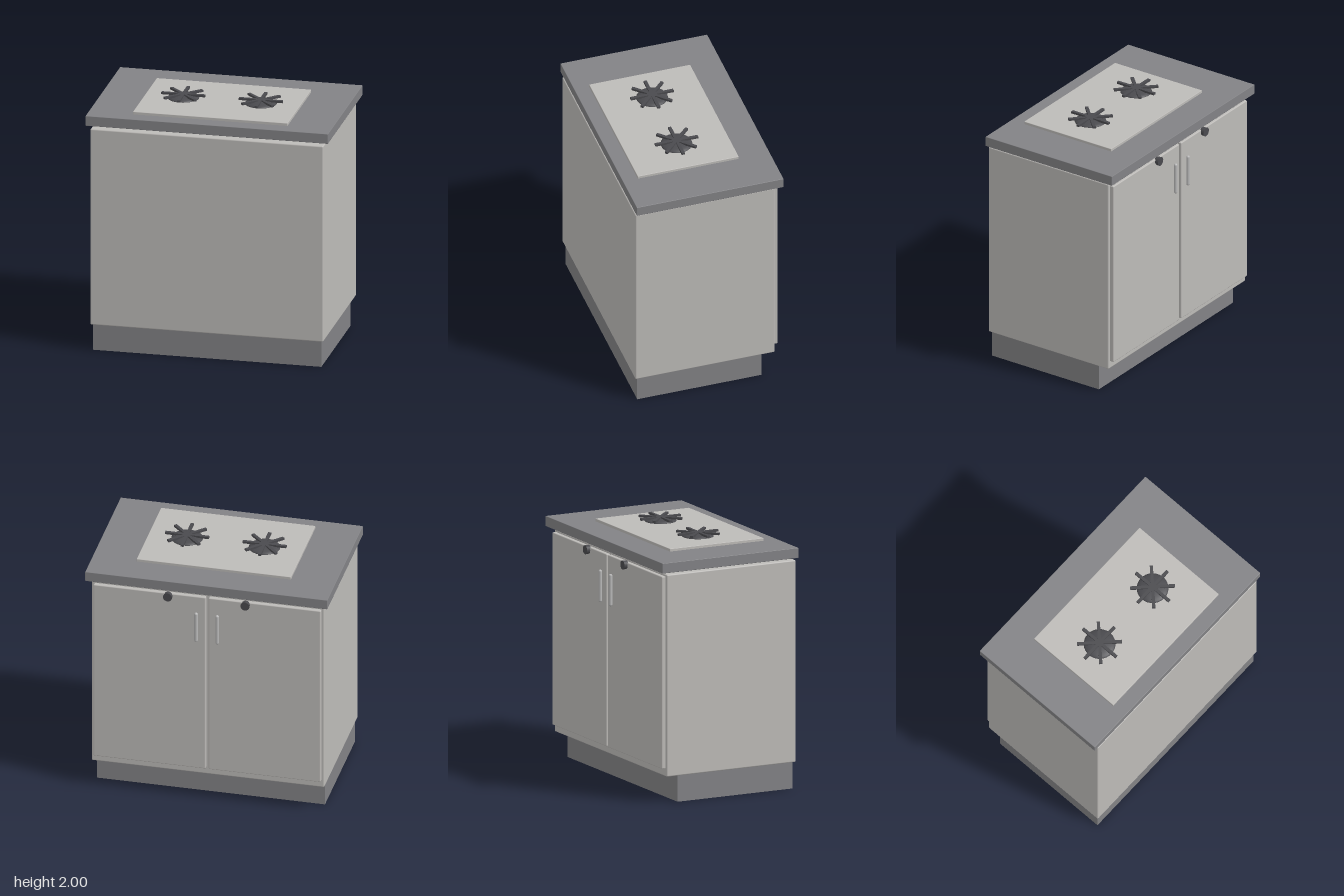
import * as THREE from 'three';
import { RoundedBoxGeometry } from 'three/addons/geometries/RoundedBoxGeometry.js';

const material = (name, color) => {
  const m = new THREE.MeshStandardMaterial({ color });
  m.name = name;
  return m;
};

export function createModel() {
  const model = new THREE.Group();
  model.name = 'stoveCabinet';

  const paint = material('warm light grey', 0xbdbbb8);
  const stone = material('mid grey', 0x828285);
  const iron = material('dark iron', 0x4a4a4e);
  const steel = material('handle steel', 0xb8b8b8);

  const add = (parent, name, geometry, mat, x = 0, y = 0, z = 0) => {
    const mesh = new THREE.Mesh(geometry, mat);
    mesh.name = name;
    mesh.position.set(x, y, z);
    parent.add(mesh);
    return mesh;
  };

  // Box given by its limits on each axis, with optional softened edges
  const block = (parent, name, mat, [x0, x1], [y0, y1], [z0, z1], bevel = 0) => {
    const size = [x1 - x0, y1 - y0, z1 - z0];
    const geometry = bevel
      ? new RoundedBoxGeometry(...size, 2, bevel)
      : new THREE.BoxGeometry(...size);
    return add(parent, name, geometry, mat, (x0 + x1) / 2, (y0 + y1) / 2, (z0 + z1) / 2);
  };

  // Cabinet, worktop and hob plate
  block(model, 'plinth', stone, [-0.918, 0.918], [0, 0.22], [-0.44, 0.583]);
  block(model, 'cabinetBody', paint, [-0.937, 0.937], [0.213, 1.836], [-0.545, 0.603], 0.01);
  block(model, 'worktop', stone, [-0.976, 0.976], [1.86, 1.942], [-0.605, 0.605], 0.004);
  block(model, 'hobPlate', paint, [-0.622, 0.622], [1.936, 1.964], [-0.35, 0.483], 0.004);

  for (const side of [-1, 1]) {
    const label = side > 0 ? 'left' : 'right';

    // Burner: shallow dome under a star of four crossed bars
    const burner = new THREE.Group();
    burner.name = label + 'Burner';
    burner.position.set(side * 0.312, 1.963, 0.064);
    model.add(burner);
    const dome = new THREE.SphereGeometry(0.125, 32, 8, 0, Math.PI * 2, 0, Math.PI / 2);
    dome.scale(1, 0.24, 1);
    add(burner, 'burnerDome', dome, iron);
    for (let i = 0; i < 4; i++) {
      const bar = add(burner, 'grateBar', new THREE.BoxGeometry(0.352, 0.017, 0.025), iron, 0, 0.0285, 0);
      bar.rotation.y = i * Math.PI / 4;
    }

    // Door with upright handle
    const edges = [side * 0.012, side * 0.915].sort((a, b) => a - b);
    block(model, label + 'Door', paint, edges, [0.275, 1.82], [-0.578, -0.54], 0.008);
    add(model, label + 'Handle', new THREE.CapsuleGeometry(0.0145, 0.232, 6, 16), steel,
      side * 0.085, 1.553, -0.592);

    // Control knob
    const knob = new THREE.CylinderGeometry(0.036, 0.033, 0.038, 20);
    knob.rotateX(-Math.PI / 2);
    add(model, label + 'Knob', knob, iron, side * 0.312, 1.8, -0.588);
  }

  return model;
}
